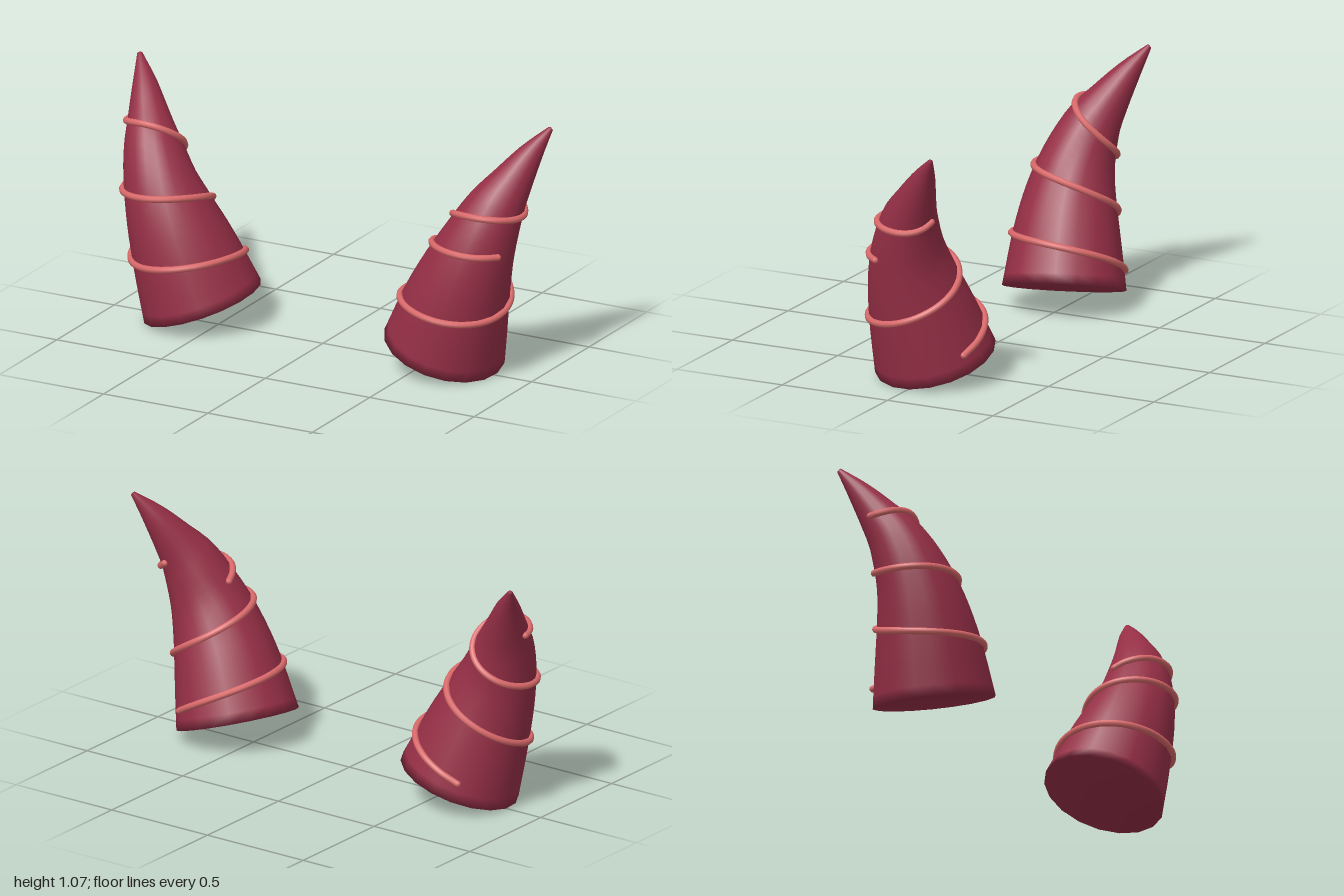
import * as THREE from 'three';

const SIDES = 18, RINGS = 24, TUBE = 0.0145;

// Horn spine: x, y, z and radius at each station (left horn; mirrored for the right)
const STATIONS = [
  [0.58, 0.09, -0.005, 0.262], [0.65, 0.30, 0.02, 0.228], [0.71, 0.46, 0.032, 0.194],
  [0.765, 0.60, 0.025, 0.16], [0.82, 0.74, -0.01, 0.126], [0.87, 0.85, -0.065, 0.09],
  [0.925, 0.965, -0.13, 0.053], [0.985, 1.068, -0.195, 0.011],
];
const smooth = (pts) => new THREE.CatmullRomCurve3(pts, false, 'catmullrom', 0.5);
const spine = smooth(STATIONS.map(([x, y, z]) => new THREE.Vector3(x, y, z)));
const radii = smooth(STATIONS.map((s) => new THREE.Vector3(s[3], 0, 0)));

// Point on the horn surface: u along the spine, angle from the outer side towards the back
function surfacePoint(u, angle, lift, side) {
  const t = spine.getUtoTmapping(u);
  const T = spine.getTangent(t);
  const U = new THREE.Vector3(1, 0, 0).addScaledVector(T, -T.x).normalize();
  const V = new THREE.Vector3().crossVectors(T, U);
  const r = radii.getPoint(t).x + lift;
  const p = spine.getPoint(t)
    .addScaledVector(U, r * Math.cos(angle))
    .addScaledVector(V, r * Math.sin(angle));
  p.x *= side;
  return p;
}

// Curved tapering horn with closed base and tip
function hornGeometry(side) {
  const pos = [], index = [];
  const tri = (a, b, c) => (side > 0 ? index.push(a, b, c) : index.push(a, c, b));
  for (let i = 0; i <= RINGS; i++)
    for (let j = 0; j < SIDES; j++)
      pos.push(...surfacePoint(i / RINGS, (j / SIDES) * Math.PI * 2, 0, side).toArray());
  const base = pos.length / 3, tip = base + 1;
  for (const t of [0, 1]) {
    const c = spine.getPoint(t);
    pos.push(c.x * side, c.y + t * 0.006, c.z);
  }
  for (let j = 0; j < SIDES; j++) {
    const k = (j + 1) % SIDES;
    for (let i = 0; i < RINGS; i++) {
      const a = i * SIDES + j, b = i * SIDES + k;
      tri(a, b, b + SIDES);
      tri(a, b + SIDES, a + SIDES);
    }
    tri(base, k, j);
    tri(tip, RINGS * SIDES + j, RINGS * SIDES + k);
  }
  const g = new THREE.BufferGeometry();
  g.setAttribute('position', new THREE.Float32BufferAttribute(pos, 3));
  g.setIndex(index);
  g.computeVertexNormals();
  return g;
}

// Thin cord wound around the horn, with rounded ends
function cord(name, side, [deg0, deg1], [u0, u1], material) {
  const group = new THREE.Group();
  group.name = name;
  const n = Math.ceil((deg1 - deg0) / 20), pts = [];
  for (let i = 0; i <= n; i++) {
    const f = i / n;
    const angle = THREE.MathUtils.degToRad(deg0 + (deg1 - deg0) * f);
    pts.push(surfacePoint(u0 + (u1 - u0) * f, angle, 0.004, side));
  }
  const path = new THREE.CatmullRomCurve3(pts);
  const tube = new THREE.Mesh(new THREE.TubeGeometry(path, n * 3, TUBE, 8), material);
  tube.name = name + 'Tube';
  group.add(tube);
  for (const p of [pts[0], pts[n]]) {
    const end = new THREE.Mesh(new THREE.SphereGeometry(TUBE, 8, 6), material);
    end.name = name + 'End';
    end.position.copy(p);
    group.add(end);
  }
  return group;
}

export function createModel() {
  const hornRed = new THREE.MeshStandardMaterial({ color: 0x962f46 });
  hornRed.name = 'hornRed';
  const cordPink = new THREE.MeshStandardMaterial({ color: 0xd9696a });
  cordPink.name = 'cordPink';

  const model = new THREE.Group();
  model.name = 'hornPair';
  for (const [name, side] of [['leftHorn', 1], ['rightHorn', -1]]) {
    const horn = new THREE.Mesh(hornGeometry(side), hornRed);
    horn.name = name;
    model.add(horn);
  }
  // The left horn has two separate cords, the right horn one long cord
  model.add(
    cord('leftLowerCord', 1, [60, 690], [0.076, 0.5], cordPink),
    cord('leftUpperCord', 1, [180, 445], [0.527, 0.714], cordPink),
    cord('rightCord', -1, [60, 1080], [0.076, 0.757], cordPink),
  );
  return model;
}
